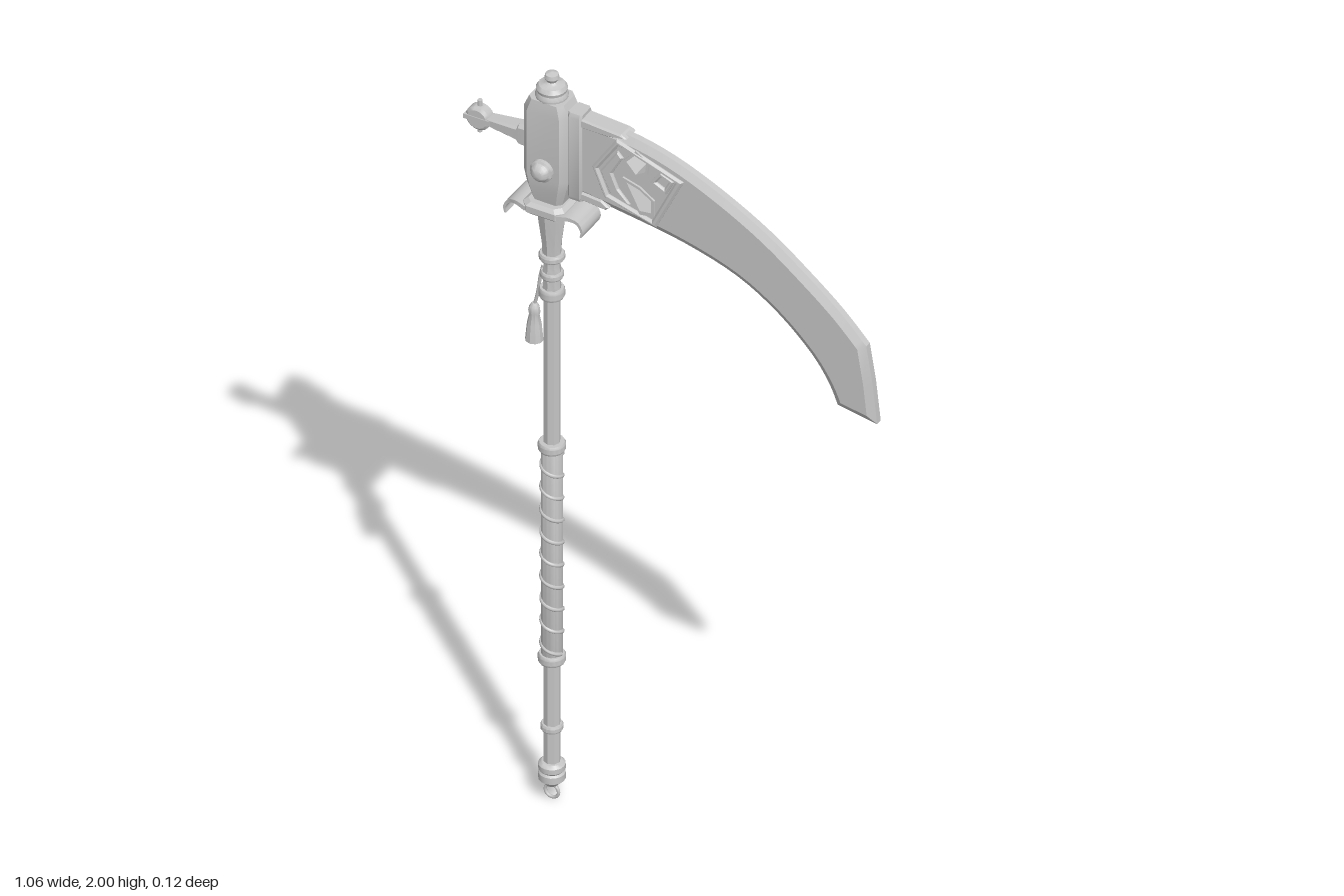
import * as THREE from 'three';
import { toCreasedNormals } from 'three/addons/utils/BufferGeometryUtils.js';

const AX = -0.309, AZ = -0.01; // staff axis
const BX = 0.004; // blade offset along x
const V2 = (x, y) => new THREE.Vector2(x, y);
const V3 = (x, y, z) => new THREE.Vector3(x, y, z);
const toV2 = (list) => list.map(([x, y]) => V2(x, y));

// Skin between equal-length rings, either closed into a loop or capped.
function loft(rings, closed = false) {
  const n = rings[0].length, pos = [], idx = [];
  rings.forEach((r) => r.forEach((p) => pos.push(p.x, p.y, p.z)));
  const spans = closed ? rings.length : rings.length - 1;
  for (let i = 0; i < spans; i++) {
    const a = i * n, b = ((i + 1) % rings.length) * n;
    for (let j = 0; j < n; j++) {
      const k = (j + 1) % n;
      idx.push(a + j, a + k, b + k, a + j, b + k, b + j);
    }
  }
  if (!closed) {
    const t = (rings.length - 1) * n;
    for (let j = 1; j < n - 1; j++) idx.push(0, j + 1, j, t, t + j, t + j + 1);
  }
  const g = new THREE.BufferGeometry();
  g.setAttribute('position', new THREE.Float32BufferAttribute(pos, 3));
  g.setIndex(idx);
  g.computeVertexNormals();
  return toCreasedNormals(g, 0.4);
}

// Chamfered rectangle at height y
function chamferRing(y, hx, hz, c) {
  return [[hx, hz - c], [hx, c - hz], [hx - c, -hz], [c - hx, -hz],
    [-hx, c - hz], [-hx, hz - c], [c - hx, hz], [hx - c, hz]].map(([x, z]) => V3(x, y, z));
}
const chamferLoft = (rows) => loft(rows.map((r) => chamferRing(...r)));

const turned = (rows, seg = 16) =>
  toCreasedNormals(new THREE.LatheGeometry(rows.map(([r, y]) => V2(r, y)), seg), 0.6);

// Plate in the xy plane, centred on z = 0, with edges bevelled inward
function plate(points, holes, depth, bevel = 0) {
  const s = new THREE.Shape(points);
  holes.forEach((h) => s.holes.push(new THREE.Path(h)));
  const core = depth - 2 * bevel;
  return new THREE.ExtrudeGeometry(s, {
    depth: core, bevelEnabled: bevel > 0, bevelSegments: 1,
    bevelSize: bevel, bevelThickness: bevel, bevelOffset: -bevel,
  }).translate(0, 0, -core / 2);
}

// Scale a polygon about its middle
function resize(points, k) {
  const c = points.reduce((s, p) => s.add(p), V2(0, 0)).divideScalar(points.length);
  return points.map((p) => p.clone().sub(c).multiplyScalar(k).add(c));
}

export function createModel() {
  const root = new THREE.Group();
  root.name = 'scythe';
  const steel = new THREE.MeshStandardMaterial({ color: 0xc6c6c6 });
  steel.name = 'light grey steel';
  const add = (name, geo, x = AX, y = 0, z = AZ) => {
    const m = new THREE.Mesh(geo, steel);
    m.name = name;
    m.position.set(x, y, z);
    root.add(m);
    return m;
  };

  // Staff
  add('shaft', toCreasedNormals(new THREE.CylinderGeometry(0.019, 0.02, 1.5, 8), 0.3), AX, 0.82);
  for (const [y, r, h] of [[0.2, 0.026, 0.018], [0.39, 0.032, 0.024], [0.972, 0.032, 0.024],
    [1.395, 0.03, 0.026], [1.445, 0.027, 0.018], [1.495, 0.03, 0.018]]) {
    add('staffRing', turned([[0.015, -h / 2], [r * 0.9, -h / 2], [r, -h / 4], [r, h / 4],
      [r * 0.9, h / 2], [0.015, h / 2]]), AX, y);
  }
  add('pommel', turned([[0, 0.04], [0.014, 0.04], [0.024, 0.052], [0.031, 0.058], [0.031, 0.075],
    [0.027, 0.08], [0.031, 0.085], [0.031, 0.098], [0.024, 0.105], [0.018, 0.106]]));
  add('pommelLoop', new THREE.TorusGeometry(0.017, 0.004, 8, 20), AX, 0.021);

  // Wrapped grip
  add('gripCore', turned([[0.018, 0.39], [0.0245, 0.4], [0.0245, 0.96], [0.018, 0.97]]));
  const helix = [];
  for (let i = 0; i <= 144; i++) {
    const a = (i / 16) * Math.PI * 2;
    helix.push(V3(Math.cos(a) * 0.0235, 0.405 + (i / 144) * 0.55, Math.sin(a) * 0.0235));
  }
  add('gripWrap', new THREE.TubeGeometry(new THREE.CatmullRomCurve3(helix), 288, 0.005, 6));

  // Collar under the head
  add('collar', turned([[0.018, 1.38], [0.023, 1.4], [0.02, 1.42], [0.023, 1.45], [0.019, 1.47],
    [0.022, 1.5], [0.023, 1.53], [0.032, 1.6], [0.034, 1.64], [0, 1.64]], 8));

  // Tassel
  add('tasselCord', new THREE.TubeGeometry(new THREE.CatmullRomCurve3([
    V3(-0.022, 1.46, 0), V3(-0.029, 1.43, 0), V3(-0.036, 1.38, 0), V3(-0.045, 1.34, 0)]), 16, 0.004, 6));
  add('tassel', turned([[0, 1.247], [0.021, 1.247], [0.017, 1.29], [0.012, 1.315], [0.014, 1.325],
    [0.012, 1.337], [0.006, 1.348], [0, 1.348]], 10), AX - 0.045);

  // Guard plate with curled arms
  add('guardPlate', chamferLoft([[1.625, 0.043, 0.044, 0.014], [1.634, 0.053, 0.053, 0.016],
    [1.65, 0.053, 0.053, 0.016], [1.658, 0.043, 0.044, 0.014]]));
  const armCurve = new THREE.CatmullRomCurve3([V3(0.04, 1.64, 0), V3(0.068, 1.645, 0),
    V3(0.088, 1.637, 0), V3(0.099, 1.617, 0), V3(0.096, 1.602, 0)]);
  const armRings = [];
  for (let i = 0; i <= 10; i++) {
    const p = armCurve.getPoint(i / 10), t = armCurve.getTangent(i / 10);
    const h = 0.006 - i * 0.0004, w = 0.052 - 0.011 * Math.min(1, i / 5);
    const n = V3(-t.y * h, t.x * h, 0);
    armRings.push([[1, -w], [1, w], [-1, w], [-1, -w]].map(([s, z]) =>
      V3(p.x + n.x * s, p.y + n.y * s, z)));
  }
  for (const turn of [0, Math.PI]) add('guardArm', loft(armRings)).rotation.y = turn;

  // Head block, finial and front stud
  add('head', chamferLoft([[1.645, 0.034, 0.028, 0.01], [1.7, 0.05, 0.039, 0.014],
    [1.73, 0.057, 0.041, 0.016], [1.905, 0.057, 0.041, 0.016], [1.935, 0.044, 0.036, 0.012]]));
  add('finial', turned([[0, 1.93], [0.036, 1.93], [0.038, 1.94], [0.034, 1.95], [0.036, 1.958],
    [0.03, 1.967], [0.017, 1.97], [0.012, 1.975], [0.017, 1.984], [0.015, 1.994], [0, 2]], 20));
  add('stud', turned([[0.028, 0], [0.028, 0.01], [0.023, 0.013], [0.021, 0.02], [0.013, 0.028],
    [0, 0.031]], 20), AX, 1.755, AZ + 0.04).rotation.x = Math.PI / 2;

  // Rear spike ending in a pinned, disc-like knob
  add('rearSpike', chamferLoft([[0.05, 0.03, 0.023, 0.008], [0.075, 0.028, 0.022, 0.008],
    [0.08, 0.019, 0.021, 0.006], [0.16, 0.011, 0.015, 0.004]]), AX, 1.81).rotation.z = Math.PI / 2;
  const KX = -0.493;
  add('knob', turned([[0, -0.016], [0.024, -0.016], [0.031, -0.01], [0.031, 0.01], [0.024, 0.016],
    [0, 0.016]], 20), KX, 1.81).rotation.x = Math.PI / 2;
  add('knobBand', new THREE.BoxGeometry(0.066, 0.012, 0.035), KX, 1.81);
  add('knobPin', new THREE.CylinderGeometry(0.006, 0.006, 0.086, 8), KX, 1.812);
  add('knobTip', new THREE.SphereGeometry(0.01, 10, 8), -0.518, 1.81);

  // Blade outline, counter-clockwise from the root along the cutting edge
  const lower = new THREE.SplineCurve(toV2([[-0.25, 1.7], [-0.12, 1.683], [0.03, 1.658], [0.165, 1.616],
    [0.27, 1.552], [0.355, 1.473], [0.4, 1.408], [0.423, 1.355]])).getPoints(28);
  const back = new THREE.SplineCurve(toV2([[0.496, 1.542], [0.43, 1.61], [0.35, 1.677], [0.245, 1.755],
    [0.125, 1.823], [0, 1.876], [-0.12, 1.903], [-0.25, 1.908]])).getPoints(28);
  const edge = [...lower, V2(0.524, 1.338), V2(0.512, 1.445), ...back];
  const inset = edge.map((p, i) => {
    const a = edge[(i + edge.length - 1) % edge.length], b = edge[(i + 1) % edge.length];
    const d1 = p.clone().sub(a).normalize(), d2 = b.clone().sub(p).normalize();
    const n = V2(-d1.y - d2.y, d1.x + d2.x).normalize();
    return p.clone().addScaledVector(n, 0.018 / Math.max(0.6, n.dot(V2(-d1.y, d1.x))));
  });
  const eyes = [
    [[-0.11, 1.84], [-0.085, 1.812], [-0.06, 1.828], [-0.057, 1.853], [-0.084, 1.87]],
    [[-0.11, 1.785], [-0.092, 1.75], [-0.075, 1.716], [-0.045, 1.72], [-0.045, 1.755], [-0.075, 1.775]],
  ].map(toV2);
  add('bladeBody', plate(inset, eyes, 0.038), BX);
  add('bladeBevel', loft(edge.map((p, i) => {
    const q = inset[i];
    return [V3(q.x, q.y, 0.019), V3(p.x, p.y, 0.008), V3(p.x, p.y, -0.008), V3(q.x, q.y, -0.019)];
  }), true), BX);

  // Raised mask emblem on both blade faces
  const frame = toV2([[-0.198, 1.796], [-0.167, 1.722], [-0.034, 1.685], [0.036, 1.833], [-0.135, 1.892]]);
  add('emblemFrame', plate(frame, [resize(frame, 0.84)], 0.052, 0.005), BX);
  const nose = toV2([[-0.05, 1.805], [-0.008, 1.785], [0.014, 1.828], [-0.022, 1.843]]);
  add('emblemDiamond', plate(nose, [resize(nose, 0.5)], 0.052, 0.004), BX);
  eyes.forEach((e) => add('emblemEyeRim', plate(resize(e, 1.25), [resize(e, 0.96)], 0.048), BX));
  add('emblemChevron', plate(toV2([[-0.176, 1.792], [-0.152, 1.74], [-0.1, 1.724], [-0.13, 1.757],
    [-0.146, 1.795], [-0.118, 1.845], [-0.132, 1.86]]), [], 0.052, 0.004), BX);

  // Socket holding the blade
  add('bladeSocket', chamferLoft([[1.685, 0.018, 0.022, 0.005], [1.695, 0.018, 0.026, 0.005],
    [1.912, 0.018, 0.026, 0.005], [1.922, 0.018, 0.022, 0.005]]), -0.238);
  add('socketCore', new THREE.BoxGeometry(0.04, 0.2, 0.04), -0.26, 1.805);
  add('upperSocketStrap', plate(toV2([[-0.23, 1.888], [-0.16, 1.888], [-0.11, 1.898], [-0.125, 1.906],
    [-0.23, 1.913]]), [], 0.046, 0.004), BX);
  add('lowerSocketStrap', plate(toV2([[-0.23, 1.69], [-0.165, 1.684], [-0.155, 1.694], [-0.175, 1.708],
    [-0.23, 1.712]]), [], 0.046, 0.004), BX);
  return root;
}
